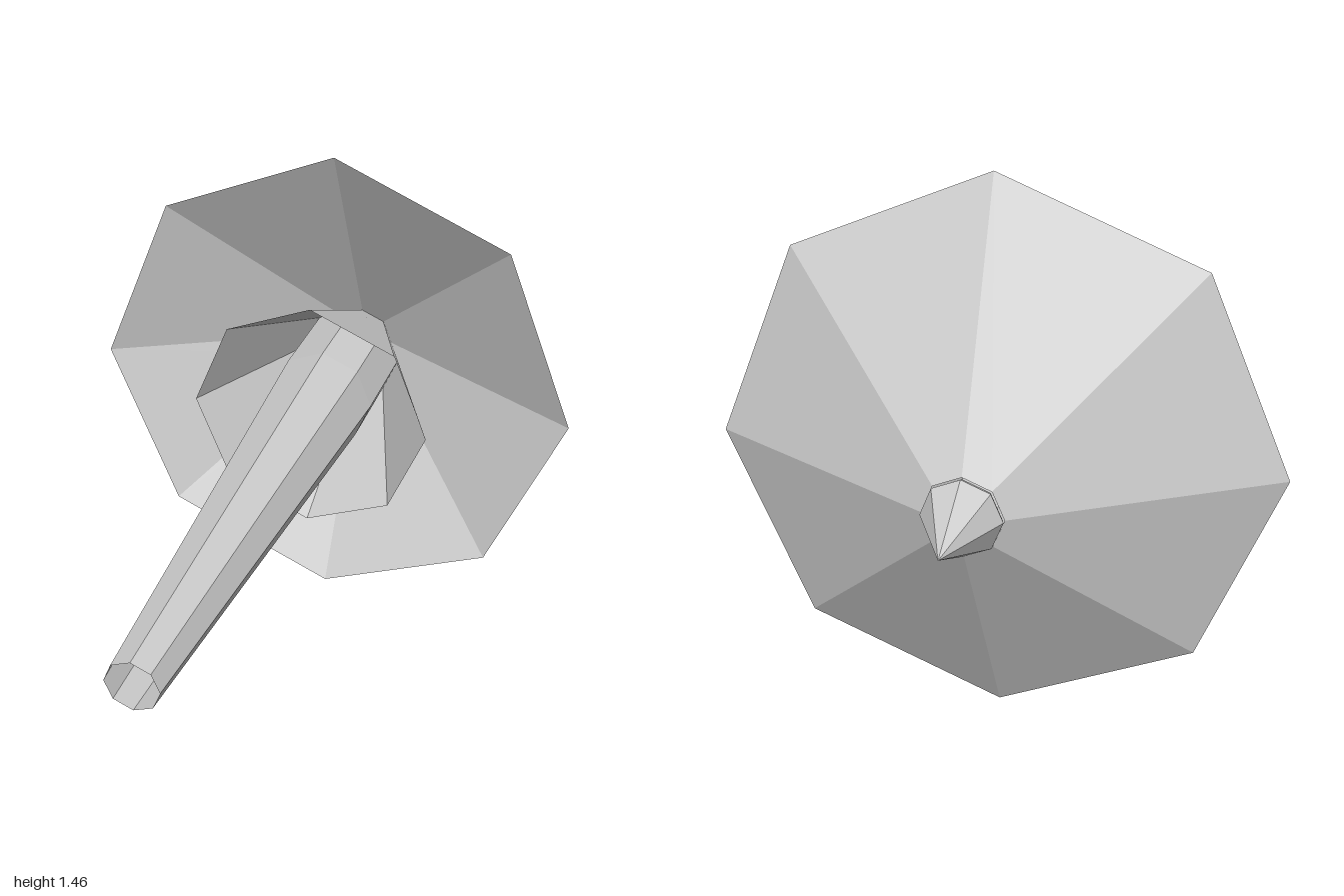
import * as THREE from 'three';

export function createModel() {
  const model = new THREE.Group();
  const grey = new THREE.MeshStandardMaterial({
    color: 0xcccccc, flatShading: true, side: THREE.DoubleSide,
  });
  grey.name = 'lightGrey';

  // Eight-sided shell around the z axis; profile is [radius, z] from back to front.
  function shell(name, profile) {
    const geometry = new THREE.LatheGeometry(
      profile.map(([r, z]) => new THREE.Vector2(r, z)), 8);
    geometry.rotateX(Math.PI / 2);
    const mesh = new THREE.Mesh(geometry, grey);
    mesh.name = name;
    mesh.position.y = 0.73;
    model.add(mesh);
  }

  // Hollow tapering shaft, open at the front
  shell('shaft', [[0.152, -0.68], [0.152, -0.38], [0.07, 1]]);
  // Inner flared collar behind the canopy rim
  shell('collar', [[0.1, -0.79], [0.355, -0.25]]);
  // Wide shallow canopy
  shell('canopy', [[0.1, -0.79], [0.73, -0.45]]);
  // Pointed tip with a narrow base band
  shell('tip', [[0, -1], [0.1, -0.802], [0.094, -0.787]]);

  return model;
}
